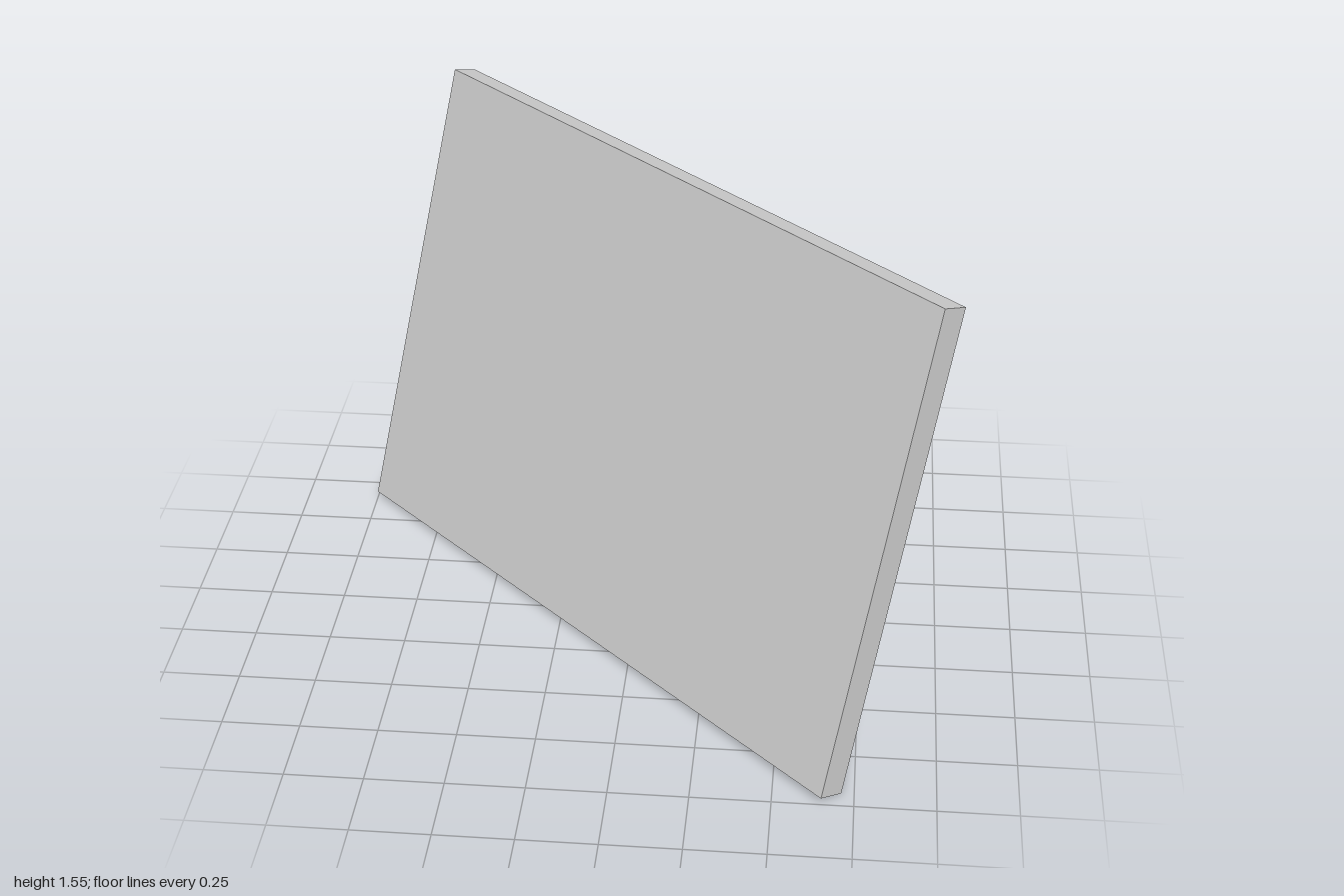
import * as THREE from 'three';

// Panel size: width, height, and the thickness of each of its three layers
const W = 2.333, H = 1.58, LAYER = 0.0295;
const RIM = 0.118, BAR = 0.115;

function rectangle(path, w, h) {
  path.moveTo(-w / 2, -h / 2);
  path.lineTo(w / 2, -h / 2);
  path.lineTo(w / 2, h / 2);
  path.lineTo(-w / 2, h / 2);
  path.closePath();
  return path;
}

export function createModel() {
  const model = new THREE.Group();
  model.name = 'leaningPanel';
  const grey = new THREE.MeshStandardMaterial({ color: 0xcccccc });
  grey.name = 'light grey';

  const panel = new THREE.Group();
  panel.name = 'panel';
  const add = (name, geometry, z) => {
    const mesh = new THREE.Mesh(geometry, grey);
    mesh.name = name;
    mesh.position.z = z;
    panel.add(mesh);
  };

  // Flat front sheet
  add('frontSheet', new THREE.BoxGeometry(W, H, LAYER), LAYER);

  // Raised rim around the back
  const rim = rectangle(new THREE.Shape(), W, H);
  rim.holes.push(rectangle(new THREE.Path(), W - 2 * RIM, H - 2 * RIM));
  add('backFrame', new THREE.ExtrudeGeometry(rim, { depth: 2 * LAYER, bevelEnabled: false }), -1.5 * LAYER);

  // Thinner brace across the middle of the recess
  add('crossBar', new THREE.BoxGeometry(W - 2 * RIM, BAR, LAYER), 0);

  // Turned 45 degrees and leaning back 15 degrees, standing on its lower back edge
  const tilt = THREE.MathUtils.degToRad(15);
  panel.rotation.set(-tilt, -Math.PI / 4, 0, 'YXZ');
  panel.position.y = (H * Math.cos(tilt) + 3 * LAYER * Math.sin(tilt)) / 2;
  model.add(panel);
  return model;
}
